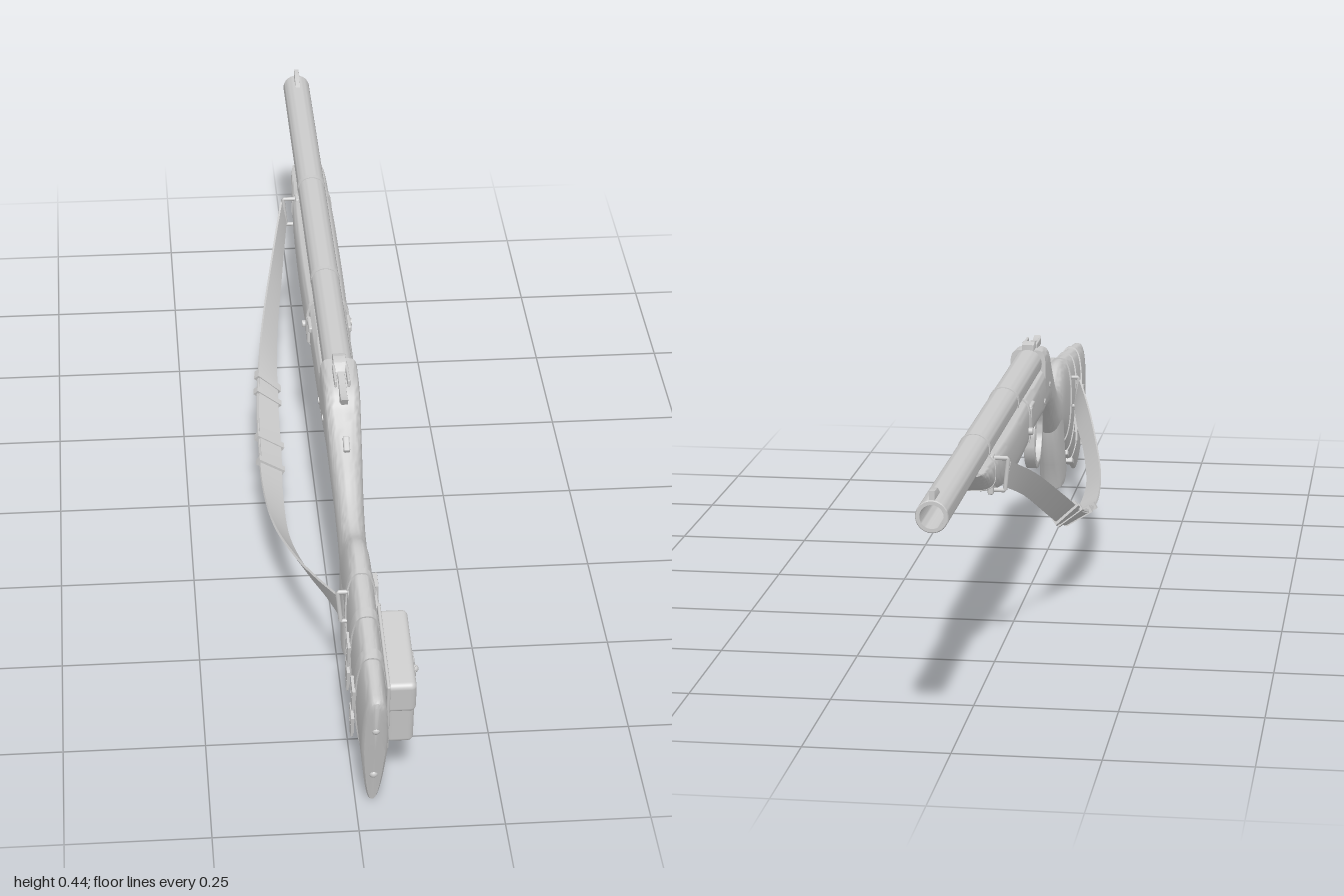
import * as THREE from 'three';
import { toCreasedNormals } from 'three/addons/utils/BufferGeometryUtils.js';
import { RoundedBoxGeometry } from 'three/addons/geometries/RoundedBoxGeometry.js';

const CX = 0.029; // centre line of the gun
const mat = new THREE.MeshStandardMaterial({ color: 0xcccccc });

// Skin a list of rings (equal point counts) and cap both ends
function loft(rings, crease = 0.7) {
  const n = rings[0].length, pos = [], idx = [];
  rings.forEach(r => r.forEach(p => pos.push(p.x, p.y, p.z)));
  for (let i = 0; i < rings.length - 1; i++) for (let j = 0; j < n; j++) {
    const a = i * n + j, b = i * n + (j + 1) % n;
    idx.push(a, b, a + n, b, b + n, a + n);
  }
  [0, rings.length - 1].forEach((r, end) => {
    const c = rings[r].reduce((s, p) => s.add(p), new THREE.Vector3()).divideScalar(n);
    const k = pos.length / 3;
    pos.push(c.x, c.y, c.z);
    for (let j = 0; j < n; j++) {
      const a = r * n + j, b = r * n + (j + 1) % n;
      end ? idx.push(k, a, b) : idx.push(k, b, a);
    }
  });
  // Turn the faces outward, judged by the enclosed volume
  const v = i => new THREE.Vector3().fromArray(pos, i * 3);
  let vol = 0;
  for (let i = 0; i < idx.length; i += 3) vol += v(idx[i]).dot(v(idx[i + 1]).cross(v(idx[i + 2])));
  if (vol < 0) idx.reverse();
  const g = new THREE.BufferGeometry();
  g.setAttribute('position', new THREE.Float32BufferAttribute(pos, 3));
  g.setIndex(idx);
  return toCreasedNormals(g, crease);
}

// Catmull-Rom through rows of numbers, u counted in rows
function sample(rows, u) {
  const i = Math.min(Math.floor(u), rows.length - 2), t = u - i;
  const r = k => rows[Math.max(0, Math.min(rows.length - 1, k))];
  return rows[i].map((_, c) => {
    const [a, b, d, e] = [r(i - 1)[c], r(i)[c], r(i + 1)[c], r(i + 2)[c]];
    return b + 0.5 * t * (d - a + t * (2 * a - 5 * b + 4 * d - e + t * (3 * (b - d) + e - a)));
  });
}

// Rounded section: [topZ, topY, bottomZ, bottomY, halfWidth, squareness, bottomTaper]
function section([tz, ty, bz, by, hw, e, taper], grow = 0, dz = 0, n = 40) {
  const pw = a => Math.sign(a) * Math.abs(a) ** e;
  return Array.from({ length: n }, (_, j) => {
    const a = j / n * Math.PI * 2, s = pw(Math.sin(a)), f = (s + 1) / 2;
    const y = by + (ty - by) * f + grow * s;
    return new THREE.Vector3(CX + pw(Math.cos(a)) * (hw + grow) * (1 + taper * Math.min(0, s)), y, bz + (tz - bz) * f + dz);
  });
}
function body(rows, u0 = 0, u1 = rows.length - 1, grow = 0, steps = 6) {
  const n = Math.max(2, Math.ceil((u1 - u0) * steps));
  return Array.from({ length: n + 1 }, (_, i) => section(sample(rows, u0 + (u1 - u0) * i / n), grow));
}

// Extrude a (z, y) outline across x
function plate(shape, width, bevel = 0.0015) {
  const g = new THREE.ExtrudeGeometry(shape, { depth: width - 2 * bevel, bevelSize: bevel, bevelThickness: bevel, bevelSegments: 2, curveSegments: 24 });
  g.translate(0, 0, -(width - 2 * bevel) / 2);
  return toCreasedNormals(g.rotateY(-Math.PI / 2), 0.6);
}
const outline = pts => new THREE.Shape(pts.map(p => new THREE.Vector2(...p)));
const rect = (w, h) => [[-w / 2, -h / 2], [w / 2, -h / 2], [w / 2, h / 2], [-w / 2, h / 2]];
function frame(w, h, t, depth) {
  const s = outline(rect(w, h));
  s.holes.push(outline(rect(w - 2 * t, h - 2 * t).reverse()));
  return plate(s, depth, 0.001);
}

const STOCK = [
  [0.988, 0.275, 0.915, 0.006, 0.022, 0.7, 0.4], [0.88, 0.287, 0.82, 0.05, 0.0245, 0.7, 0.3],
  [0.77, 0.297, 0.73, 0.09, 0.025, 0.7, 0.2], [0.67, 0.308, 0.66, 0.127, 0.025, 0.75, 0.1],
  [0.59, 0.314, 0.59, 0.15, 0.025, 0.8, 0], [0.52, 0.29, 0.53, 0.165, 0.025, 0.85, 0],
  [0.46, 0.302, 0.47, 0.192, 0.025, 0.85, 0], [0.39, 0.338, 0.41, 0.228, 0.027, 0.8, 0],
  [0.33, 0.37, 0.35, 0.265, 0.03, 0.65, 0], [0.285, 0.398, 0.29, 0.294, 0.032, 0.5, 0],
  [0.24, 0.427, 0.24, 0.304, 0.034, 0.4, 0], [0.165, 0.434, 0.165, 0.306, 0.035, 0.35, 0]];
const RECEIVER = [[0.17, 0.395, 0.17, 0.306, 0.035, 0.4, 0], [0.03, 0.394, 0.03, 0.307, 0.036, 0.45, 0], [-0.1, 0.394, -0.1, 0.307, 0.037, 0.5, 0]];
const FOREND = [
  [-0.098, 0.4, -0.098, 0.297, 0.04, 0.6, 0], [-0.25, 0.4, -0.25, 0.295, 0.042, 0.6, 0],
  [-0.38, 0.4, -0.38, 0.3, 0.042, 0.62, 0], [-0.48, 0.4, -0.48, 0.317, 0.041, 0.65, 0],
  [-0.57, 0.4, -0.57, 0.342, 0.038, 0.7, 0], [-0.635, 0.399, -0.635, 0.37, 0.035, 0.75, 0], [-0.665, 0.398, -0.665, 0.388, 0.03, 0.8, 0]];
// Sling edges by rows: [z, outerX, outerY, innerX, innerY]
const SLING = [
  [-0.53, -0.033, 0.385, -0.024, 0.338], [-0.4, -0.06, 0.332, -0.042, 0.288], [-0.25, -0.09, 0.256, -0.062, 0.215],
  [-0.1, -0.109, 0.187, -0.068, 0.157], [0.02, -0.113, 0.156, -0.07, 0.13], [0.15, -0.113, 0.145, -0.075, 0.122],
  [0.3, -0.1, 0.16, -0.073, 0.132], [0.45, -0.072, 0.195, -0.05, 0.16], [0.57, -0.043, 0.232, -0.022, 0.187], [0.67, -0.014, 0.264, -0.004, 0.212]];

function sling(u0, u1, thick, widen = 0) {
  const n = Math.ceil((u1 - u0) * 6) + 1;
  return loft(Array.from({ length: n + 1 }, (_, i) => {
    const u = u0 + (u1 - u0) * i / n, [z, ox, oy, ix, iy] = sample(SLING, u);
    const o = new THREE.Vector3(ox, oy, z), q = new THREE.Vector3(ix, iy, z);
    const a = sample(SLING, Math.max(0, u - 0.05)), b = sample(SLING, Math.min(9, u + 0.05));
    const along = new THREE.Vector3(b[1] - a[1], b[2] - a[2], b[0] - a[0]);
    const w = o.clone().sub(q).normalize(), nrm = along.cross(w).normalize().multiplyScalar(thick / 2);
    o.addScaledVector(w, widen); q.addScaledVector(w, -widen);
    return [o.clone().add(nrm), q.clone().add(nrm), q.sub(nrm), o.sub(nrm)];
  }));
}

export function createModel() {
  const root = new THREE.Group();
  const add = (name, geo, x = 0, y = 0, z = 0, parent = root) => {
    const m = new THREE.Mesh(geo, mat);
    m.name = name;
    m.position.set(x, y, z);
    parent.add(m);
    return m;
  };
  const rod = (r, len) => new THREE.CylinderGeometry(r, r, len, 20).rotateZ(Math.PI / 2);
  const stud = (name, r, x, y, z, parent) => add(name, new THREE.SphereGeometry(r, 16, 10), x, y, z, parent);

  // Wooden parts and receiver, butt end rounded off
  add('stock', loft([section(STOCK[0], -0.012, 0.008), section(STOCK[0], -0.004, 0.006), ...body(STOCK)]));
  add('receiver', loft(body(RECEIVER)));
  add('forend', loft(body(FOREND)));
  const grip = [[0.23, 0.515, 0.055, 0.024], [0.18, 0.527, 0.055, 0.025], [0.13, 0.55, 0.05, 0.025], [0.085, 0.567, 0.048, 0.026], [0.072, 0.571, 0.047, 0.025], [0.066, 0.572, 0.04, 0.019]];
  add('pistolGrip', loft(grip.map(([y, z, d, w]) => Array.from({ length: 28 }, (_, j) => {
    const a = j / 28 * Math.PI * 2, p = v => Math.sign(v) * Math.abs(v) ** 0.7;
    return new THREE.Vector3(CX + p(Math.cos(a)) * w, y + p(Math.sin(a)) * d * 0.25, z + p(Math.sin(a)) * d);
  }))));
  [[0.2, 0.973], [0.08, 0.938]].forEach(([y, z]) => stud('buttScrew', 0.008, CX, y, z));

  // Hollow barrel with bands
  const tube = [[0, 0.2], [0.02, 0.2], [0.02, 1], [0.026, 1], [0.0275, 0.998], [0.0275, -0.17], [0, -0.17]];
  const lathe = new THREE.LatheGeometry(tube.slice().reverse().map(p => new THREE.Vector2(...p)), 40);
  add('barrel', toCreasedNormals(lathe.rotateX(-Math.PI / 2), 0.6), CX, 0.407, 0).material = Object.assign(mat.clone(), { side: THREE.DoubleSide });
  [-0.17, -0.54].forEach(z => add('barrelBand', new THREE.CylinderGeometry(0.029, 0.029, 0.012, 40).rotateX(Math.PI / 2), CX, 0.407, z));
  add('forendBand', loft(body(FOREND, 0, 0.12, 0.002)));
  add('forendTipBand', loft(body(FOREND, 3.6, 3.75, 0.0015)));

  // Sights and hammer
  add('frontSight', plate(outline([[-0.995, 0.43], [-0.995, 0.448], [-0.965, 0.446], [-0.935, 0.43]]), 0.01), CX);
  add('rearSight', plate(outline([[0.165, 0.428], [0.165, 0.443], [0.18, 0.447], [0.195, 0.443], [0.21, 0.428]]), 0.024), CX);
  add('hammer', plate(outline([[0.225, 0.41], [0.225, 0.438], [0.25, 0.434], [0.285, 0.428], [0.308, 0.433], [0.3, 0.42], [0.275, 0.412], [0.268, 0.39], [0.25, 0.39]]), 0.013), CX);
  [-1, 1].forEach(s => add('hammerCheek', new RoundedBoxGeometry(0.005, 0.014, 0.06, 2, 0.002), CX + s * 0.012, 0.434, 0.225));
  add('tangSafety', new RoundedBoxGeometry(0.012, 0.012, 0.03, 2, 0.003), CX, 0.365, 0.35).rotation.x = 0.55;

  // Trigger guard and trigger
  const ring = new THREE.Shape().absarc(0, 0, 0.065, 0, Math.PI * 2);
  ring.holes.push(new THREE.Path().absarc(0, 0, 0.054, 0, Math.PI * 2, true));
  add('triggerGuard', plate(ring, 0.022), CX, 0.243, 0.248);
  const curl = new THREE.CatmullRomCurve3([[0.31, 0.25], [0.27, 0.262], [0.235, 0.255], [0.21, 0.238]].map(([y, z]) => new THREE.Vector3(CX, y, z)));
  add('trigger', new THREE.TubeGeometry(curl, 16, 0.005, 10));

  // Mirrored receiver fittings
  [-1, 1].forEach(s => {
    add('sideLatch', new RoundedBoxGeometry(0.008, 0.05, 0.022, 2, 0.003), CX + s * 0.038, 0.352, -0.077);
    add('latchArm', new RoundedBoxGeometry(0.008, 0.012, 0.045, 2, 0.003), CX + s * 0.037, 0.374, -0.058);
    add('latchPin', rod(0.007, 0.01), CX + s * 0.043, 0.34, -0.12);
    add('receiverPin', rod(0.006, 0.006), CX + s * 0.034, 0.335, 0.15);
    add('receiverPin', rod(0.006, 0.006), CX + s * 0.033, 0.35, 0.235);
  });

  // Leather bands around the butt, buckled on the left-hand face
  [[0.9, 1.12], [1.85, 2.07], [2.95, 3.1]].forEach(([a, b], i) => {
    add('stockStrap', loft(body(STOCK, a, b, 0.003)));
    if (i === 2) return;
    const [tz, ty, bz, by] = sample(STOCK, (a + b) / 2);
    [0.3, 0.6].forEach(f => {
      const g = new THREE.Group();
      g.name = 'strapBuckle';
      g.position.set(0, by + (ty - by) * f, bz + (tz - bz) * f);
      g.rotation.x = 0.2;
      add('buckleFrame', frame(0.036, 0.036, 0.005, 0.006), 0, 0, 0, g);
      add('bucklePin', new THREE.BoxGeometry(0.004, 0.034, 0.004), -0.001, 0, 0, g);
      add('strapEnd', new RoundedBoxGeometry(0.005, 0.055, 0.02, 2, 0.002), 0, -0.012, 0, g);
      root.add(g);
    });
    add('underBuckle', new RoundedBoxGeometry(0.024, 0.012, 0.028, 2, 0.003), CX, by - 0.003, bz).rotation.x = 0.42;
  });

  // Small buckled tab ahead of the pouch
  const tab = new THREE.Group();
  tab.name = 'stockTab';
  tab.position.set(CX + 0.026, 0.247, 0.66);
  tab.rotation.x = 0.1;
  add('tabLeather', new RoundedBoxGeometry(0.006, 0.028, 0.085, 2, 0.003), 0, 0, 0, tab);
  add('tabBuckle', frame(0.034, 0.044, 0.006, 0.008), 0.002, 0, -0.02, tab);
  stud('tabStud', 0.005, 0.003, 0, 0.022, tab);
  root.add(tab);

  // Pouch on the butt
  const pouch = new THREE.Group();
  pouch.name = 'pouch';
  pouch.position.set(0.076, 0.198, 0.824);
  pouch.rotation.x = 0.15;
  add('pouchBody', new RoundedBoxGeometry(0.048, 0.14, 0.182, 4, 0.01), 0, 0, 0, pouch);
  add('pouchFlap', new RoundedBoxGeometry(0.053, 0.065, 0.187, 4, 0.01), 0, 0.038, 0, pouch);
  add('pouchBack', new RoundedBoxGeometry(0.006, 0.15, 0.2, 2, 0.003), -0.022, 0, 0, pouch);
  add('pouchTongue', new RoundedBoxGeometry(0.006, 0.05, 0.026, 2, 0.002), 0.027, 0.022, 0, pouch);
  add('pouchClasp', frame(0.036, 0.022, 0.005, 0.007), 0.029, 0.016, 0, pouch);
  stud('pouchStud', 0.007, 0.032, 0.016, 0, pouch);
  root.add(pouch);

  // Sling with overlap, keepers and swivels
  add('sling', sling(0, 9, 0.004));
  add('slingOverlap', sling(2.6, 4.4, 0.009, -0.002));
  [[2.6, 2.7], [2.85, 2.93], [3.75, 3.87], [4.32, 4.42]].forEach(([a, b]) => add('slingKeeper', sling(a, b, 0.014, 0.004)));
  [[0.39, 0.332, -0.53, -0.03, 0.0], [0.268, 0.206, 0.67, -0.012, 0.01]].forEach(([t, b, z, x, xi]) => {
    const p = new THREE.CurvePath(), c = [[xi, t], [x, t], [x + 0.006, b], [xi, b]].map(q => new THREE.Vector3(...q, z));
    for (let i = 0; i < 3; i++) p.add(new THREE.LineCurve3(c[i], c[i + 1]));
    add('slingSwivel', new THREE.TubeGeometry(p, 40, 0.004, 8));
    add('swivelPlate', new RoundedBoxGeometry(0.01, t - b + 0.012, 0.03, 2, 0.003), xi, (t + b) / 2, z);
  });
  return root;
}
